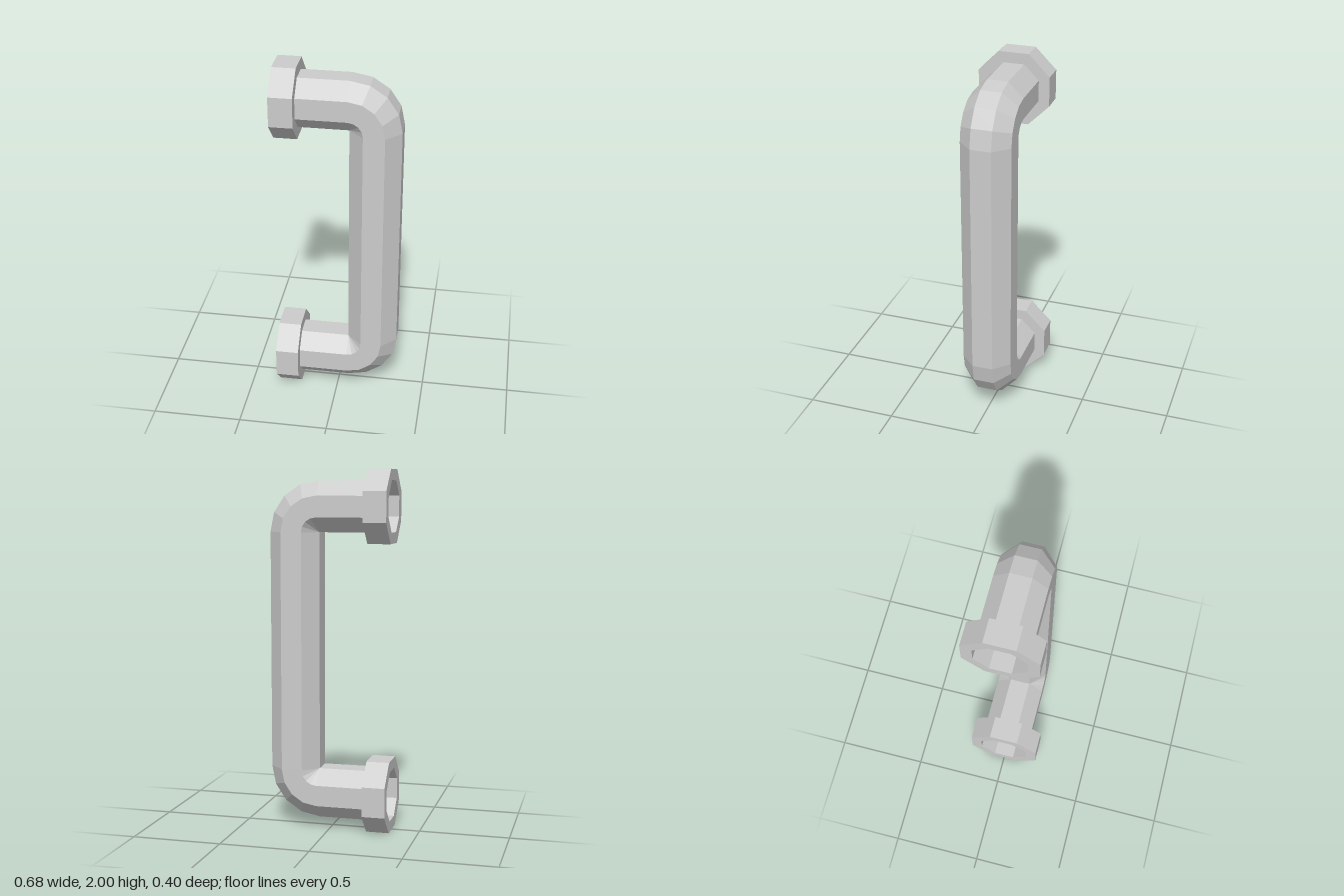
import * as THREE from 'three';

const SIDES = 8;
const PIPE = 0.14;      // half width across flats of the pipe
const COLLAR = 0.2;     // half width across flats of the collars
const BACK = -0.341, SEAT = -0.213;   // x of the collar's open end and inner end
const BEND_X = 0.061, LOW = 0.34, HIGH = 1.66; // centres of the two bends

// Octagon with flat sides facing the axes
function octagon(apothem) {
  const r = apothem / Math.cos(Math.PI / SIDES);
  return Array.from({ length: SIDES }, (_, i) => {
    const t = ((i + 0.5) / SIDES) * Math.PI * 2;
    return new THREE.Vector2(r * Math.cos(t), r * Math.sin(t));
  });
}

// Sweep the octagon through a list of stations: centre and outward direction
function sweep(stations) {
  const profile = octagon(PIPE);
  const pos = [], index = [];
  stations.forEach(({ x, y, a }, i) => {
    for (const p of profile) pos.push(x + p.x * Math.sin(a), y + p.x * Math.cos(a), p.y);
    if (i === 0) return;
    for (let j = 0; j < SIDES; j++) {
      const k = (j + 1) % SIDES, u = (i - 1) * SIDES, v = i * SIDES;
      index.push(u + j, u + k, v + j, u + k, v + k, v + j);
    }
  });
  const g = new THREE.BufferGeometry();
  g.setAttribute('position', new THREE.Float32BufferAttribute(pos, 3));
  g.setIndex(index);
  const flat = g.toNonIndexed();
  flat.computeVertexNormals();
  return flat;
}

export function createModel() {
  const group = new THREE.Group();
  const material = new THREE.MeshStandardMaterial({
    color: 0xcccccc, flatShading: true, side: THREE.DoubleSide,
  });

  // Handle pipe: upper arm, two four-step bends, lower arm
  const stations = [{ x: SEAT, y: HIGH + PIPE, a: 0 }];
  for (const [cy, start] of [[HIGH, 0], [LOW, Math.PI / 2]]) {
    for (let i = 0; i <= 4; i++) {
      const a = start + (i / 4) * (Math.PI / 2);
      stations.push({ x: BEND_X + PIPE * Math.sin(a), y: cy + PIPE * Math.cos(a), a });
    }
  }
  stations.push({ x: SEAT, y: LOW - PIPE, a: Math.PI });
  const pipe = new THREE.Mesh(sweep(stations), material);
  pipe.name = 'handlePipe';
  group.add(pipe);

  // Hollow octagonal collars at both ends
  const ring = new THREE.Shape(octagon(COLLAR));
  ring.holes.push(new THREE.Path(octagon(PIPE)));
  const collarGeometry = new THREE.ExtrudeGeometry(ring, { depth: SEAT - BACK, bevelEnabled: false });
  collarGeometry.rotateY(Math.PI / 2);
  for (const [name, y] of [['upperCollar', HIGH + PIPE], ['lowerCollar', LOW - PIPE]]) {
    const collar = new THREE.Mesh(collarGeometry, material);
    collar.name = name;
    collar.position.set(BACK, y, 0);
    group.add(collar);
  }
  return group;
}
